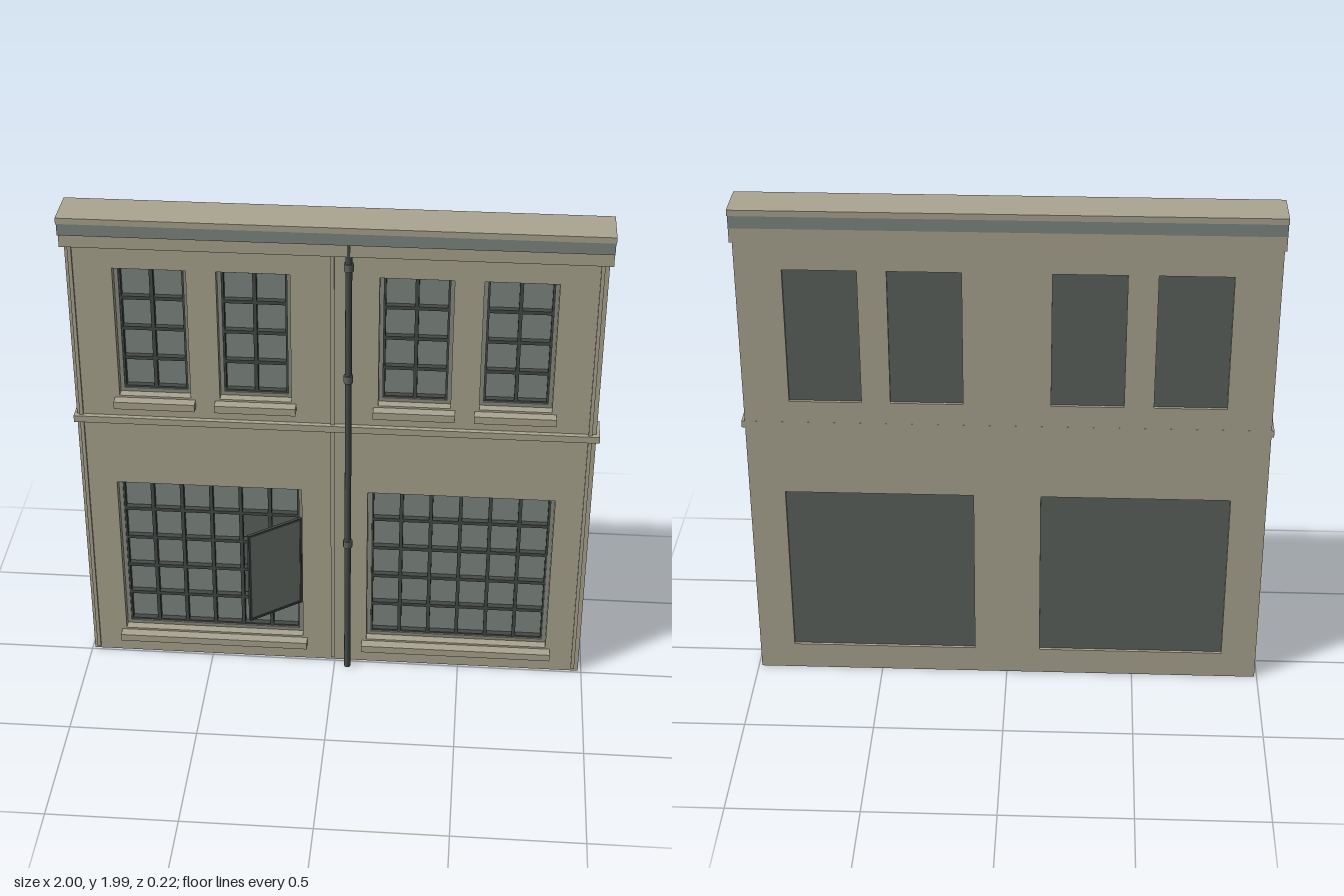
import * as THREE from 'three';

const mat = (name, color, side = THREE.FrontSide) => {
  const m = new THREE.MeshStandardMaterial({ color, side });
  m.name = name;
  return m;
};

export function createModel() {
  const root = new THREE.Group();
  root.name = 'facade';
  const stone = mat('stone', 0xaaa691);
  const frameGrey = mat('frame grey', 0x8b8e81);
  const glassGrey = mat('glass grey', 0x7f8781, THREE.DoubleSide);
  const backing = mat('dark backing', 0x5c625e, THREE.DoubleSide);
  const iron = mat('dark iron', 0x444a47);
  const clampGrey = mat('clamp grey', 0x5d6460);

  const add = (parent, name, geo, material) => {
    const m = new THREE.Mesh(geo, material);
    m.name = name;
    parent.add(m);
    return m;
  };
  // Box given by its limits
  const box = (parent, name, material, x0, x1, y0, y1, z0, z1) => {
    const m = add(parent, name, new THREE.BoxGeometry(x1 - x0, y1 - y0, z1 - z0), material);
    m.position.set((x0 + x1) / 2, (y0 + y1) / 2, (z0 + z1) / 2);
    return m;
  };
  const trace = (path, x0, x1, y0, y1) => {
    path.moveTo(x0, y0);
    path.lineTo(x1, y0);
    path.lineTo(x1, y1);
    path.lineTo(x0, y1);
    path.closePath();
    return path;
  };
  const rect = (...r) => trace(new THREE.Shape(), ...r);
  const hole = (...r) => trace(new THREE.Path(), ...r);

  // Openings: limits, pane grid, and sash cells (columns 4-5, rows 1-3) where one is open
  const openings = [-0.82, -0.437, 0.163, 0.543].map((x) => (
    { name: 'upperWindow', x0: x, x1: x + 0.272, y0: 1.215, y1: 1.755, cols: 2, rows: 4 }));
  openings.push(
    { name: 'lowerWindow', x0: -0.853, x1: -0.13, y0: 0.11, y1: 0.82, cols: 6, rows: 5, open: true },
    { name: 'lowerWindow', x0: 0.127, x1: 0.85, y0: 0.11, y1: 0.82, cols: 6, rows: 5 });

  // Wall with window openings
  const wall = rect(-0.99, 0.987, 0, 1.88);
  for (const o of openings) wall.holes.push(hole(o.x0, o.x1, o.y0, o.y1));
  add(root, 'wall', new THREE.ExtrudeGeometry(wall, { depth: 0.1, bevelEnabled: false }), stone)
    .position.z = -0.11;

  // Windows
  for (const o of openings) {
    const g = new THREE.Group();
    g.name = o.name;
    root.add(g);
    const { x0, x1, y0, y1, cols, rows } = o;
    const f = 0.015;
    const gx0 = x0 + f, gx1 = x1 - f, gy0 = y0 + f, gy1 = y1 - f;
    const cw = (gx1 - gx0) / cols, rh = (gy1 - gy0) / rows;

    const surround = rect(x0, x1, y0, y1);
    surround.holes.push(hole(gx0, gx1, gy0, gy1));
    add(g, 'windowFrame', new THREE.ExtrudeGeometry(surround, { depth: 0.05, bevelEnabled: false }), frameGrey)
      .position.z = -0.095;

    const pane = rect(gx0, gx1, gy0, gy1);
    if (o.open) pane.holes.push(hole(gx0 + 4 * cw, gx1, gy0 + rh, gy0 + 4 * rh));
    add(g, 'glass', new THREE.ShapeGeometry(pane), glassGrey).position.z = -0.075;
    add(g, 'backPanel', new THREE.ShapeGeometry(rect(x0, x1, y0, y1)), backing).position.z = -0.098;

    // Glazing bars, half width at the edges
    const b = 0.007;
    for (let i = 0; i <= cols; i++) {
      const x = gx0 + i * cw;
      box(g, 'verticalBar', iron, Math.max(x - b, gx0), Math.min(x + b, gx1), gy0, gy1, -0.08, -0.05);
    }
    for (let j = 0; j <= rows; j++) {
      const y = gy0 + j * rh;
      box(g, 'horizontalBar', iron, gx0, gx1, Math.max(y - b, gy0), Math.min(y + b, gy1), -0.08, -0.052);
    }

    // Projecting sill
    box(g, 'sill', stone, x0 - 0.018, x1 + 0.018, y0 - 0.038, y0 - 0.008, -0.03, 0.03);

    // Casement swung outward on its right edge
    if (o.open) {
      const sash = new THREE.Group();
      sash.name = 'openCasement';
      const w = 0.242, h = 3 * rh;
      const rim = rect(-w, 0, 0, h);
      rim.holes.push(hole(-w + 0.01, -0.01, 0.01, h - 0.01));
      add(sash, 'casementFrame', new THREE.ExtrudeGeometry(rim, { depth: 0.012, bevelEnabled: false }), iron)
        .position.z = -0.006;
      box(sash, 'casementGlass', glassGrey, -w + 0.01, -0.01, 0.01, h - 0.01, -0.004, 0.004);
      sash.position.set(-0.137, gy0 + rh, -0.042);
      sash.rotation.y = Math.atan2(0.145, 0.195);
      g.add(sash);
    }
  }

  // Belt course, frieze and cornice
  box(root, 'beltCourse', stone, -1, 1, 1.1, 1.127, -0.1102, 0.01);
  box(root, 'frieze', stone, -0.998, 0.998, 1.86, 1.917, -0.1102, 0.04);
  box(root, 'corniceBand', glassGrey, -0.998, 0.998, 1.915, 1.962, -0.1105, 0.058);
  box(root, 'corniceCap', stone, -1, 1, 1.962, 1.985, -0.111, 0.062);

  // Slim vertical strips
  for (const x of [-0.971, -0.009, 0.964]) {
    box(root, 'wallStrip', stone, x - 0.007, x + 0.007, 0.015, 1.86, -0.015, 0);
  }

  // Drainpipe with clamps
  const pipe = new THREE.Group();
  pipe.name = 'drainpipe';
  pipe.position.set(0.053, 0, 0.029);
  root.add(pipe);
  add(pipe, 'pipe', new THREE.CylinderGeometry(0.0125, 0.0125, 1.915, 12), iron).position.y = 0.9575;
  for (const y of [0.605, 1.35, 1.815]) {
    add(pipe, 'clamp', new THREE.CylinderGeometry(0.018, 0.018, 0.03, 12), clampGrey).position.y = y;
    box(pipe, 'bracket', clampGrey, -0.006, 0.006, y, y + 0.012, -0.045, 0);
  }
  return root;
}
